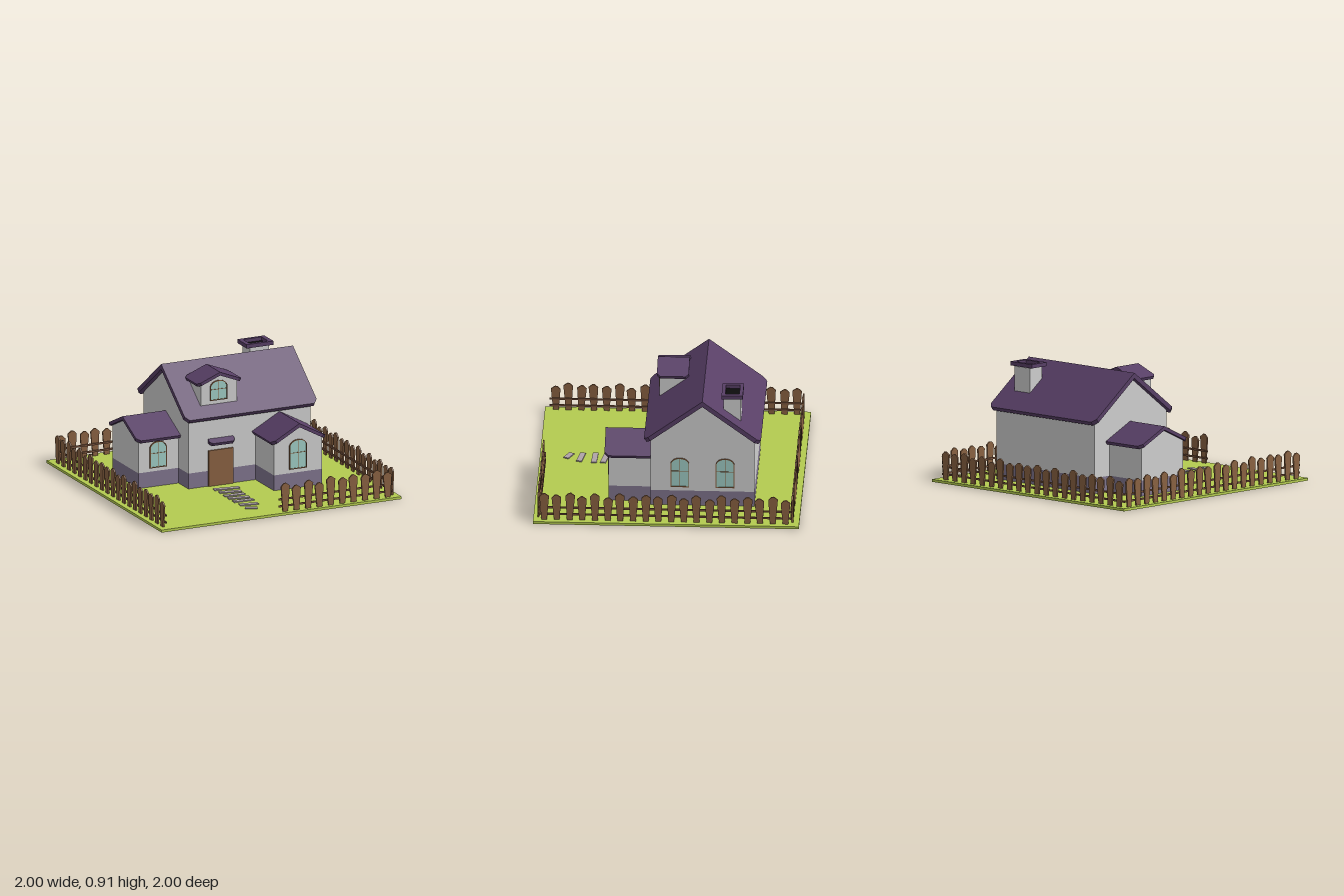
import * as THREE from 'three';

const mat = (name, color, side = THREE.FrontSide) => {
  const m = new THREE.MeshStandardMaterial({ color, side });
  m.name = name;
  return m;
};

export function createModel() {
  const M = {
    grass: mat('grass', 0xb4cb50),
    wall: mat('plaster', 0xd0d0d0),
    base: mat('plinth', 0x80758e),
    roof: mat('roof tiles', 0x583f66),
    wood: mat('wood', 0x8a6242),
    rail: mat('dark wood', 0x75503a),
    glass: mat('glass', 0xa0cec6),
    stone: mat('path stone', 0xb0a4a8),
    soot: mat('soot', 0x0d0d0d),
  };
  const model = new THREE.Group();
  model.name = 'cottage';

  const add = (parent, name, geo, material, x = 0, y = 0, z = 0, ry = 0) => {
    const mesh = new THREE.Mesh(geo, material);
    mesh.name = name;
    mesh.position.set(x, y, z);
    mesh.rotation.y = ry;
    parent.add(mesh);
    return mesh;
  };
  const group = (parent, name, x = 0, y = 0, z = 0, ry = 0) => {
    const g = new THREE.Group();
    g.name = name;
    g.position.set(x, y, z);
    g.rotation.y = ry;
    parent.add(g);
    return g;
  };
  // box given by its bounds
  const block = (parent, name, material, x0, x1, y0, y1, z0, z1) =>
    add(parent, name, new THREE.BoxGeometry(x1 - x0, y1 - y0, z1 - z0), material,
      (x0 + x1) / 2, (y0 + y1) / 2, (z0 + z1) / 2);
  const polygon = pts => new THREE.Shape(pts.map(p => new THREE.Vector2(...p)));
  const extrude = (shape, depth) =>
    new THREE.ExtrudeGeometry(shape, { depth, bevelEnabled: false, curveSegments: 5 });

  // one roof slope: ridge along z at the origin, falling towards +x, eave corners cut
  const slope = (run, len, pitch, thick, cut0, cut1) => {
    const h = len / 2;
    const geo = extrude(polygon([[0, -h], [run - cut0, -h], [run, -h + cut0],
      [run, h - cut1], [run - cut1, h], [0, h]]), 1);
    const p = geo.attributes.position;
    const angle = Math.atan(pitch);
    for (let i = 0; i < p.count; i++) {
      const under = p.getZ(i) > 0.5;
      let r = p.getX(i);
      const s = p.getY(i);
      if (under && r > run / 2) r -= thick * Math.sin(angle);
      p.setXYZ(i, r, -pitch * r - (under ? thick / Math.cos(angle) : 0), s);
    }
    geo.computeVertexNormals();
    return geo;
  };

  // gabled volume with its ridge along local z, from wall z0..z1 and roof r0..r1
  const gabled = (name, o) => {
    const g = group(model, name, o.x, 0, o.z, o.ry ?? 0);
    const drop = o.thick / Math.cos(Math.atan(o.pitch)) + 0.001;
    const top = o.peak - drop;
    const eave = top - o.pitch * o.half;
    add(g, name + ' walls', extrude(polygon([[-o.half, o.bottom], [o.half, o.bottom],
      [o.half, eave], [0, top], [-o.half, eave]]), o.z1 - o.z0), M.wall, 0, 0, o.z0);
    if (o.plinth) block(g, name + ' plinth', M.base, -o.half, o.half, 0.01, o.bottom, o.z0, o.z1);
    const len = o.r1 - o.r0, mid = (o.r0 + o.r1) / 2;
    const [c0, c1] = o.cuts;
    add(g, name + ' roof slope', slope(o.run, len, o.pitch, o.thick, c0, c1), M.roof, 0, o.peak, mid);
    add(g, name + ' roof slope', slope(o.run, len, o.pitch, o.thick, c1, c0), M.roof, 0, o.peak, mid, Math.PI);
  };

  // ground
  block(model, 'lawn', M.grass, -1, 1, 0, 0.02, -1, 1);

  // house volumes
  gabled('main house', { x: 0, z: -0.26, ry: Math.PI / 2, half: 0.39, z0: -0.36, z1: 0.66, bottom: 0.14,
    plinth: true, peak: 0.9, pitch: 0.745, thick: 0.034, run: 0.44, r0: -0.4, r1: 0.7, cuts: [0.03, 0.03] });
  gabled('side wing', { x: 0, z: -0.265, ry: Math.PI / 2, half: 0.225, z0: -0.695, z1: -0.34, bottom: 0.14,
    plinth: true, peak: 0.53, pitch: 0.47, thick: 0.026, run: 0.265, r0: -0.72, r1: -0.35, cuts: [0.03, 0] });
  gabled('front wing', { x: 0.4, z: 0, half: 0.2, z0: 0.1, z1: 0.45, bottom: 0.14,
    plinth: true, peak: 0.53, pitch: 0.55, thick: 0.026, run: 0.23, r0: 0.12, r1: 0.48, cuts: [0, 0.03] });
  gabled('dormer', { x: -0.085, z: 0, half: 0.152, z0: -0.11, z1: 0.09, bottom: 0.645,
    peak: 0.895, pitch: 0.4, thick: 0.024, run: 0.187, r0: -0.13, r1: 0.11, cuts: [0.025, 0.025] });

  // chimney with a hollow cap
  const rect = (C, w, d) => {
    const s = new C();
    s.moveTo(-w, -d); s.lineTo(w, -d); s.lineTo(w, d); s.lineTo(-w, d); s.closePath();
    return s;
  };
  block(model, 'chimney stack', M.wall, 0.415, 0.575, 0.55, 0.875, -0.545, -0.415);
  const cap = rect(THREE.Shape, 0.112, 0.08);
  cap.holes.push(rect(THREE.Path, 0.077, 0.053));
  const capGeo = extrude(cap, 0.03);
  capGeo.rotateX(-Math.PI / 2);
  add(model, 'chimney cap', capGeo, M.roof, 0.493, 0.88, -0.48);
  block(model, 'chimney opening', M.soot, 0.415, 0.571, 0.875, 0.883, -0.534, -0.426);

  // arched windows, facing local +z with the sill at the origin
  const arch = (C, w, h, inset) => {
    const a = w / 2 - inset, t = h - inset, sh = h - w * 0.3;
    const s = new C();
    s.moveTo(-a, inset); s.lineTo(a, inset); s.lineTo(a, sh);
    s.quadraticCurveTo(a * 0.75, t, 0, t);
    s.quadraticCurveTo(-a * 0.75, t, -a, sh);
    s.closePath();
    return s;
  };
  const windowAt = (name, w, h, x, y, z, ry = 0) => {
    const g = group(model, name, x, y, z, ry);
    const frame = arch(THREE.Shape, w, h, 0);
    frame.holes.push(arch(THREE.Path, w, h, 0.006));
    add(g, 'window frame', extrude(frame, 0.01), M.wood);
    add(g, 'window pane', extrude(arch(THREE.Shape, w, h, 0.005), 0.004), M.glass);
    block(g, 'upright bar', M.wood, -0.002, 0.002, 0.005, h - 0.005, 0, 0.007);
    block(g, 'cross bar', M.wood, -w / 2 + 0.005, w / 2 - 0.005, h * 0.55 - 0.002, h * 0.55 + 0.002, 0, 0.007);
  };
  windowAt('side wing window', 0.14, 0.205, -0.532, 0.168, -0.04);
  windowAt('front wing window', 0.145, 0.23, 0.4, 0.17, 0.45);
  windowAt('dormer window', 0.142, 0.155, -0.09, 0.675, 0.09);
  for (const z of [-0.09, -0.43]) windowAt('gable window', 0.14, 0.24, 0.66, 0.172, z, Math.PI / 2);

  // door and its canopy
  block(model, 'door', M.wood, -0.195, 0.01, 0.02, 0.3, 0.125, 0.142);
  add(model, 'door canopy', slope(0.055, 0.21, 0.5, 0.025, 0.02, 0.02), M.roof, -0.092, 0.393, 0.125, -Math.PI / 2);

  // stepping stones: x, z, length, turn
  [[-0.1, 0.255, 0.2, 0.15], [-0.112, 0.342, 0.17, 0.2], [-0.118, 0.425, 0.165, 0.04], [-0.12, 0.508, 0.165, 0.17],
    [-0.12, 0.586, 0.165, 0.04], [-0.125, 0.69, 0.145, 0.17], [-0.148, 0.783, 0.095, 0.45]]
    .forEach(([x, z, len, turn]) =>
      add(model, 'stepping stone', new THREE.BoxGeometry(len, 0.012, 0.042), M.stone, x, 0.022, z, -turn));

  // picket fence along local x, outside facing local +z
  const heights = [0.24, 0.222, 0.242, 0.21, 0.235, 0.215, 0.245, 0.225];
  const pickets = heights.map(h => extrude(polygon([[-0.021, 0.02], [0.021, 0.02],
    [0.036, h - 0.022], [0.006, h], [-0.012, h - 0.002], [-0.036, h - 0.026]]), 0.012));
  const fence = (name, x, z, ry, length, count) => {
    const g = group(model, name, x, 0, z, ry);
    for (let i = 0; i < count; i++) {
      const p = add(g, 'picket', pickets[(i * 3 + count) % heights.length], M.wood, (i + 0.5) * length / count, 0, 0);
      p.rotation.z = 0.025 * Math.sin(i * 2.3);
    }
    for (const y of [0.06, 0.115]) block(g, 'fence rail', M.rail, 0, length, y - 0.007, y + 0.007, -0.01, 0);
  };
  fence('front fence', 0, 0.957, 0, 0.95, 10);
  fence('left fence', 0.948, 0.965, Math.PI / 2, 1.91, 20);
  fence('back fence', 0.95, -0.943, Math.PI, 1.9, 20);
  fence('right fence', -0.948, -0.945, -Math.PI / 2, 1.91, 20);

  return model;
}
